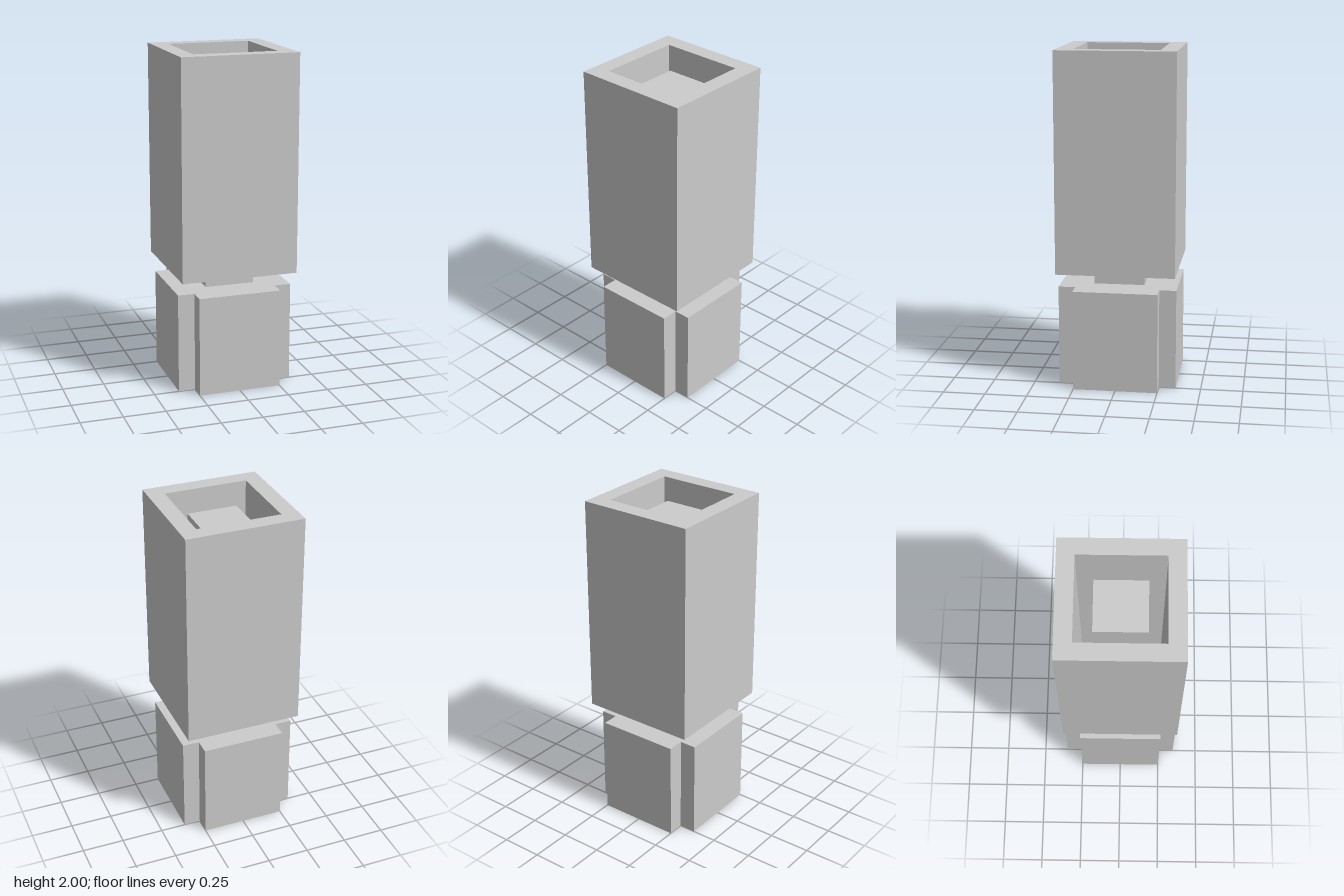
import * as THREE from 'three';

const material = new THREE.MeshStandardMaterial({ color: 0xcccccc, flatShading: true });

// Extrudes a ground-plan shape upwards from y0 to y1
function upright(name, shape, y0, y1) {
  const geometry = new THREE.ExtrudeGeometry(shape, { depth: y1 - y0, bevelEnabled: false });
  geometry.rotateX(-Math.PI / 2);
  const mesh = new THREE.Mesh(geometry, material);
  mesh.name = name;
  mesh.position.y = y0;
  return mesh;
}

const polygon = (points) => points.map(([x, y]) => new THREE.Vector2(x, y));
const square = (h) => polygon([[-h, -h], [h, -h], [h, h], [-h, h]]);

export function createModel() {
  const group = new THREE.Group();
  const outer = 0.35, inner = 0.25, core = 0.15;

  // Base block with a square notch cut from each vertical corner
  const plan = [];
  for (let i = 0; i < 4; i++) {
    for (const [x, y] of [[outer, -inner], [outer, inner], [inner, inner]]) {
      const p = new THREE.Vector2(x, y).rotateAround(new THREE.Vector2(), i * Math.PI / 2);
      plan.push(p);
    }
  }
  group.add(upright('base', new THREE.Shape(plan), 0, 0.6));

  // Square column rising from the base through the sleeve
  group.add(upright('column', new THREE.Shape(square(core)), 0.6, 1.9));

  // Hollow square sleeve, open at both ends
  const ring = new THREE.Shape(square(outer));
  ring.holes.push(new THREE.Path(square(inner)));
  group.add(upright('sleeve', ring, 0.7, 2));

  return group;
}
